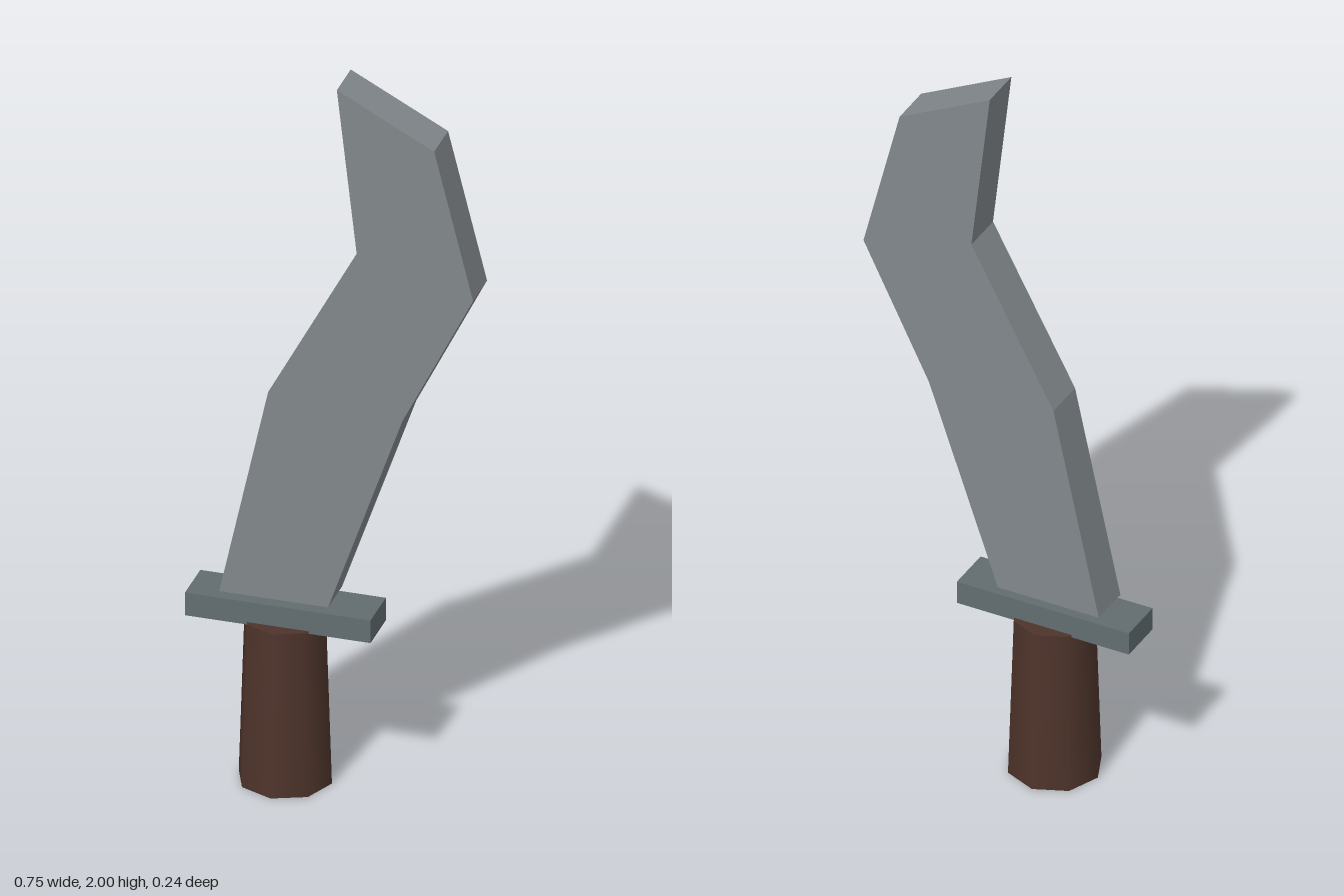
import * as THREE from 'three';

const HANDLE_X = -0.135;

function addPart(group, name, geometry, color, flatShading) {
  const material = new THREE.MeshStandardMaterial({ color, flatShading });
  const mesh = new THREE.Mesh(geometry, material);
  mesh.name = name;
  group.add(mesh);
  return mesh;
}

export function createModel() {
  const model = new THREE.Group();
  model.name = 'curvedSword';

  // Tapered eight-sided grip, smooth around its sides
  const handle = addPart(model, 'handle',
    new THREE.CylinderGeometry(0.107, 0.122, 0.457, 8), 0x4e342b, false);
  handle.position.set(HANDLE_X, 0.2285, 0);

  // Flat crossguard
  const guard = addPart(model, 'guard',
    new THREE.BoxGeometry(0.486, 0.064, 0.126), 0x626d70, true);
  guard.position.set(HANDLE_X, 0.482, 0);

  // Bent blade outline, extruded to an even thickness
  const outline = [
    [-0.29, 0.53], [-0.005, 0.53], [0.19, 1.09], [0.375, 1.46],
    [0.273, 1.867], [0.018, 2.0], [0.07, 1.545], [-0.162, 1.115],
  ].map(([x, y]) => new THREE.Vector2(x, y));
  const thickness = 0.115;
  const bladeGeometry = new THREE.ExtrudeGeometry(new THREE.Shape(outline), {
    depth: thickness, bevelEnabled: false,
  });
  bladeGeometry.translate(0, 0, -thickness / 2);
  addPart(model, 'blade', bladeGeometry, 0x81888b, true);

  return model;
}
